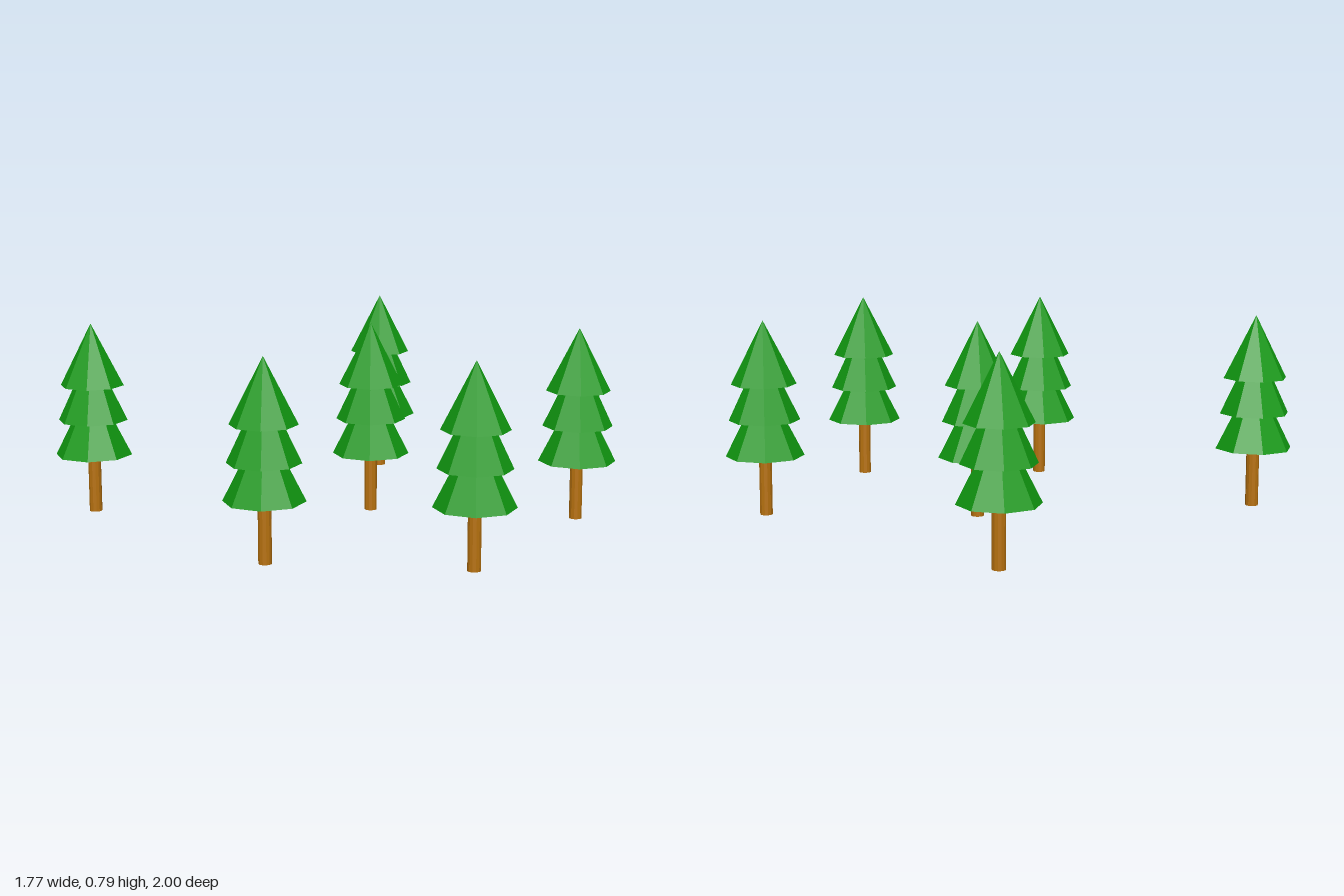
import * as THREE from 'three';

const leafMaterial = new THREE.MeshStandardMaterial({ color: 0x119911, flatShading: true });
const barkMaterial = new THREE.MeshStandardMaterial({ color: 0xb8720f, flatShading: true });

// Foliage tiers from bottom to top: base height, base radius, apex height
const TIERS = [
  { name: 'lowerFoliage', base: 0.24, radius: 0.157, apex: 0.55 },
  { name: 'middleFoliage', base: 0.385, radius: 0.142, apex: 0.685 },
  { name: 'upperFoliage', base: 0.53, radius: 0.13, apex: 0.785 },
];

// Ground position (x, z) of each tree
const POSITIONS = [
  [-0.73, -0.845], [0.725, -0.66], [0.12, -0.08],
  [-0.73, 0.245], [0.63, 0.6], [-0.23, 0.843],
];

function createTree() {
  const tree = new THREE.Group();
  tree.name = 'pineTree';

  // Trunk, its top hidden just inside the lowest tier
  const trunkHeight = 0.25;
  const trunk = new THREE.Mesh(new THREE.CylinderGeometry(0.026, 0.026, trunkHeight, 12), barkMaterial);
  trunk.name = 'trunk';
  trunk.position.y = trunkHeight / 2;
  tree.add(trunk);

  // Three overlapping eight-sided cones
  for (const { name, base, radius, apex } of TIERS) {
    const tier = new THREE.Mesh(new THREE.ConeGeometry(radius, apex - base, 8), leafMaterial);
    tier.name = name;
    tier.position.y = (base + apex) / 2;
    tree.add(tier);
  }
  return tree;
}

export function createModel() {
  const model = new THREE.Group();
  model.name = 'pineTrees';
  for (const [x, z] of POSITIONS) {
    const tree = createTree();
    tree.position.set(x, 0, z);
    model.add(tree);
  }
  return model;
}
